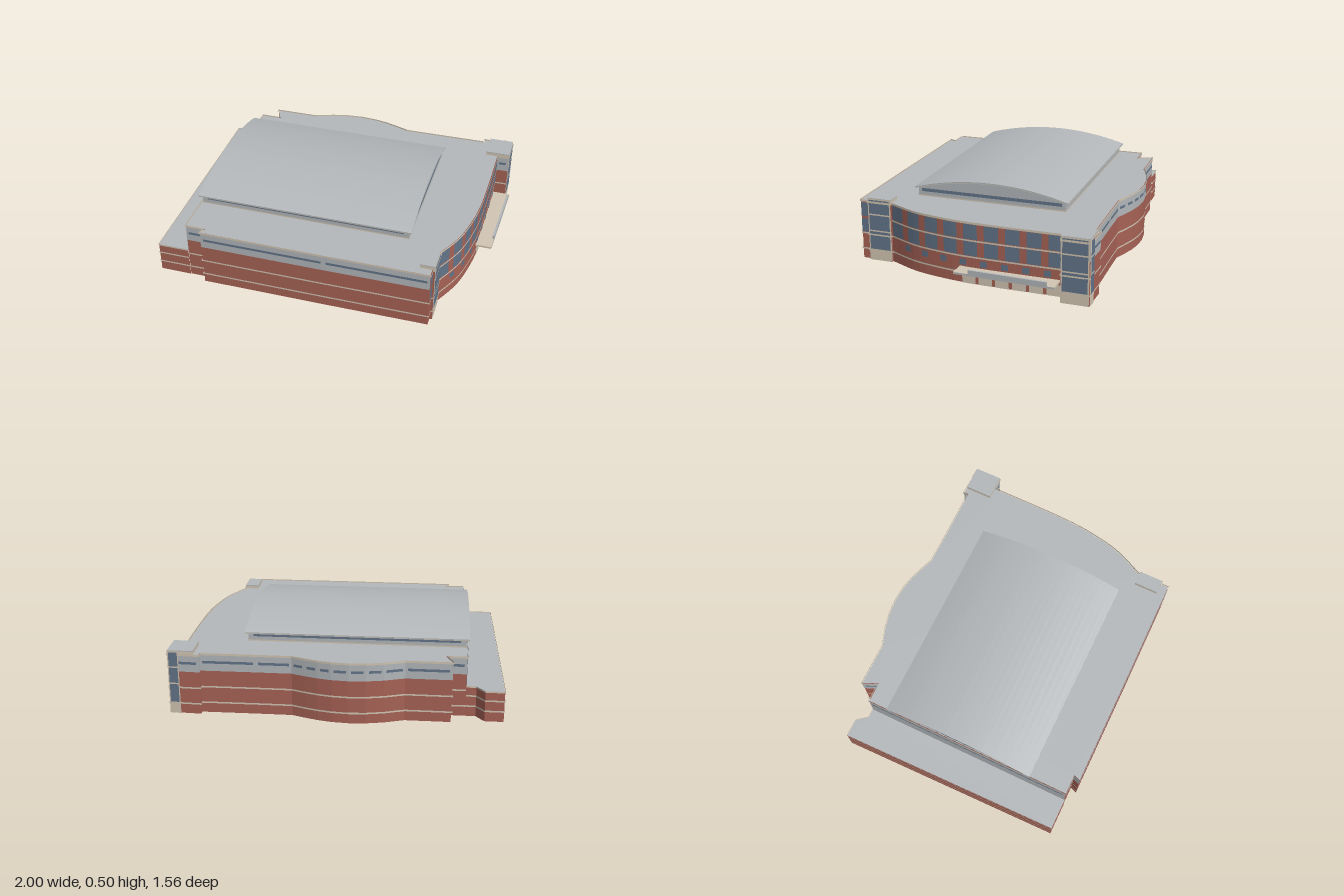
import * as THREE from 'three';

const mat = (name, color) => {
  const m = new THREE.MeshStandardMaterial({ color, side: THREE.DoubleSide });
  m.name = name;
  return m;
};

export function createModel() {
  const group = new THREE.Group();
  const brick = mat('brick', 0xa86356);
  const metal = mat('greyPanel', 0xb4b8bb);
  const glass = mat('blueGlass', 0x63758a);
  const cream = mat('creamStone', 0xd2c6b4);

  const add = (name, geo, material) => {
    const mesh = new THREE.Mesh(geo, material);
    mesh.name = name;
    group.add(mesh);
    return mesh;
  };

  // Push a plan path outwards with mitred corners
  const offsetPath = (pts, d) => pts.map((p, i) => {
    const normal = (a, b) => {
      const l = Math.hypot(b[0] - a[0], b[1] - a[1]);
      return [-(b[1] - a[1]) / l, (b[0] - a[0]) / l];
    };
    const n0 = normal(pts[Math.max(i - 1, 0)], pts[Math.max(i, 1)]);
    const last = pts.length - 1;
    const n1 = normal(pts[Math.min(i, last - 1)], pts[Math.min(i + 1, last)]);
    const k = d / Math.max(1 + n0[0] * n1[0] + n0[1] * n1[1], 0.4);
    return [p[0] + (n0[0] + n1[0]) * k, p[1] + (n0[1] + n1[1]) * k];
  });

  // Vertical strip of wall following a plan path of [x, z] points
  const wall = (name, path, y0, y1, off, material) => {
    const pts = offsetPath(path, off);
    const v = [];
    for (let i = 0; i < pts.length - 1; i++) {
      const [a, b] = [pts[i], pts[i + 1]];
      v.push(a[0], y0, a[1], b[0], y0, b[1], b[0], y1, b[1]);
      v.push(a[0], y0, a[1], b[0], y1, b[1], a[0], y1, a[1]);
    }
    const geo = new THREE.BufferGeometry();
    geo.setAttribute('position', new THREE.Float32BufferAttribute(v, 3));
    geo.computeVertexNormals();
    return add(name, geo, material);
  };

  const flat = (name, path, y, material) => {
    const geo = new THREE.ShapeGeometry(new THREE.Shape(path.map(([x, z]) => new THREE.Vector2(x, -z))));
    return add(name, geo.rotateX(-Math.PI / 2).translate(0, y, 0), material);
  };

  const box = (name, x0, x1, y0, y1, z0, z1, material) => add(name,
    new THREE.BoxGeometry(x1 - x0, y1 - y0, z1 - z0)
      .translate((x0 + x1) / 2, (y0 + y1) / 2, (z0 + z1) / 2), material);

  // One window in each long enough straight of a path
  const ribbonWindows = (name, path, y0, y1) => {
    for (let i = 0; i < path.length - 1; i++) {
      const [a, b] = [path[i], path[i + 1]];
      const len = Math.hypot(b[0] - a[0], b[1] - a[1]);
      if (len < 0.07) continue;
      const at = t => [a[0] + (b[0] - a[0]) * t, a[1] + (b[1] - a[1]) * t];
      wall(name, [at(0.015 / len), at(1 - 0.015 / len)], y0, y1, 0.004, glass);
    }
  };

  // Plan paths, running anticlockwise seen from above
  const frontPath = [[-0.775, 0.727], [-0.65, 0.727], [-0.665, 0.768], [0.1, 0.768], [0.73, 0.764]];
  const endPath = [[0.73, 0.764], [0.73, 0.713]];
  const frontTower = [[0.73, 0.713], [0.745, 0.713], [0.745, 0.565], [0.73, 0.565]];
  const curve = new THREE.CatmullRomCurve3([[0.73, 0.565], [0.82, 0.37], [0.86, 0.2], [0.88, 0.05],
    [0.888, -0.15], [0.89, -0.35], [0.89, -0.56]].map(([x, z]) => new THREE.Vector3(x, 0, z)));
  const sidePath = curve.getSpacedPoints(24).map(p => [p.x, p.z]);
  const backTower = [[0.89, -0.56], [0.965, -0.56], [0.965, -0.722], [0.78, -0.73], [0.78, -0.7]];
  const backPath = [[0.78, -0.7], [0.45, -0.697], [0.24, -0.697], [0.16, -0.727], [0.08, -0.753], [0, -0.77],
    [-0.1, -0.778], [-0.2, -0.77], [-0.3, -0.748], [-0.42, -0.705], [-0.69, -0.705], [-0.65, -0.61], [-0.775, -0.61]];
  const leftPath = [[-0.775, -0.61], [-0.775, 0.727]];
  const outline = [frontPath, endPath, frontTower, sidePath, backTower, backPath]
    .reduce((all, p) => all.concat(all.length ? p.slice(1) : p), []);

  // Main hall shell, open underneath
  wall('mainWall', outline, 0, 0.372, 0, brick);
  flat('mainRoof', outline, 0.372, metal);
  for (const y of [0.06, 0.16]) wall('stoneCourse', outline, y, y + 0.01, 0.005, cream);
  wall('roofTrim', outline.concat([outline[0]]), 0.364, 0.377, 0.006, cream);

  // Grey upper storey with ribbon windows
  for (const path of [frontPath, backTower, backPath]) {
    wall('upperCladding', path, 0.265, 0.366, 0.002, metal);
    ribbonWindows('ribbonWindow', path, 0.312, 0.328);
  }
  wall('leftUpperWall', leftPath, 0.18, 0.372, 0, brick);
  wall('leftCladding', leftPath, 0.188, 0.366, 0.002, metal);
  ribbonWindows('leftRibbonWindow', leftPath, 0.312, 0.328);

  // Curved entrance side: tall windows between piers, small windows below
  const xAt = z => {
    const i = Math.max(1, sidePath.findIndex(p => p[1] <= z));
    const [a, b] = [sidePath[i - 1], sidePath[i]];
    return a[0] + (b[0] - a[0]) * (z - a[1]) / (b[1] - a[1]);
  };
  const sideWindow = (name, z, w, y0, y1, material) => wall(name,
    [0.5, 0.25, 0, -0.25, -0.5].map(t => [xAt(z + t * w), z + t * w]), y0, y1, 0.004, material);
  wall('sideCourse', sidePath, 0.26, 0.27, 0.006, cream);
  for (let i = 0; i < 9; i++) {
    const z = 0.51 - i * 0.1275;
    sideWindow('lowerTallWindow', z, 0.085, 0.172, 0.258, glass);
    sideWindow('upperTallWindow', z, 0.085, 0.272, 0.362, glass);
    if (i < 8) sideWindow('smallWindow', z - 0.08, 0.042, 0.11, 0.147, glass);
  }
  for (let i = 0; i < 6; i++) sideWindow('entranceDoor', 0.012 - i * 0.102, 0.083, 0, 0.07, cream);
  for (const y of [0.172, 0.272]) wall('endWindow', endPath, y, y + 0.086, 0.004, glass);

  // Glazed corner towers
  const glazing = (path, inset) => {
    const [a, b] = path;
    const len = Math.hypot(b[0] - a[0], b[1] - a[1]);
    const at = t => [a[0] + (b[0] - a[0]) * t, a[1] + (b[1] - a[1]) * t];
    wall('towerFrame', path, 0, 0.393, 0.007, cream);
    for (const [y0, y1] of [[0.072, 0.185], [0.194, 0.288], [0.297, 0.384]]) {
      wall('towerGlass', [at(inset / len), at(1 - inset / len)], y0, y1, 0.009, glass);
    }
  };
  glazing([[0.739, 0.713], [0.739, 0.565]], 0.008);
  glazing([[0.961, -0.56], [0.961, -0.722]], 0.008);
  glazing([[0.965, -0.72], [0.9, -0.724]], 0.006);
  for (const [x0, x1, z0, z1] of [[0.657, 0.745, 0.562, 0.713], [0.815, 0.967, -0.725, -0.557]]) {
    box('towerCap', x0, x1, 0.366, 0.39, z0, z1, cream);
    box('towerCapRoof', x0, x1, 0.39, 0.395, z0, z1, metal);
  }

  // Entrance canopy with raised fascia
  const canopy = new THREE.Shape([[0.87, -0.07], [0.978, -0.07], [0.998, 0.535], [0.87, 0.535]]
    .map(([x, y]) => new THREE.Vector2(x, y)));
  add('canopy', new THREE.ExtrudeGeometry(canopy, { depth: 0.012, bevelEnabled: false })
    .rotateX(-Math.PI / 2).translate(0, 0.088, 0), cream);
  wall('canopyEdge', [[0.978, 0.07], [0.998, -0.535]], 0.09, 0.1, 0.002, metal);
  const fascia = box('canopyFascia', -0.006, 0.006, 0.1, 0.124, -0.235, 0.235, metal);
  fascia.position.set(0.984, 0, -0.255);
  fascia.rotation.y = -0.033;

  // Low wing on the left side
  const wing = [[-0.775, -0.61], [-0.835, -0.61], [-0.885, -0.675], [-0.997, -0.675], [-0.97, 0.73], [-0.775, 0.73]];
  wall('wingWall', wing, 0, 0.188, 0, brick);
  flat('wingRoof', wing, 0.188, metal);
  for (const y of [0.06, 0.125, 0.182]) wall('wingCourse', wing, y, y + 0.01, 0.003, cream);

  // Raised clerestory under a vaulted roof
  const arc = (half, rise, y) => Array.from({ length: 25 }, (_, i) => {
    const t = i / 12 - 1;
    return [half * t, y + rise * (1 - t * t)];
  });
  const extrudeX = (name, pts, x0, x1, material) => add(name,
    new THREE.ExtrudeGeometry(new THREE.Shape(pts.map(([z, y]) => new THREE.Vector2(z, y))),
      { depth: x1 - x0, bevelEnabled: false }).rotateY(-Math.PI / 2).translate(x1, 0, 0.008), material);
  extrudeX('clerestory', [[0.464, 0.373], [-0.464, 0.373], ...arc(0.464, 0.063, 0.427)], -0.77, 0.535, metal);
  const vault = (top, drop) => [...arc(0.483, 0.07, top), ...arc(0.483, 0.07, top - drop).reverse()];
  extrudeX('vaultRoof', vault(0.429, 0.006), -0.79, 0.553, metal);
  extrudeX('vaultEdge', vault(0.4235, 0.004), -0.788, 0.551, cream);
  const ring = [[-0.77, 0.472], [0.535, 0.472], [0.535, -0.456], [-0.77, -0.456], [-0.77, 0.472]];
  wall('clerestoryBase', ring, 0.372, 0.38, 0.004, cream);
  for (let i = 0; i < 4; i++) {
    const [a, b] = [ring[i], ring[i + 1]];
    const at = t => [a[0] + (b[0] - a[0]) * t, a[1] + (b[1] - a[1]) * t];
    wall('clerestoryWindow', [at(0.024), at(0.976)], 0.4, 0.42, 0.003, glass);
  }
  return group;
}
